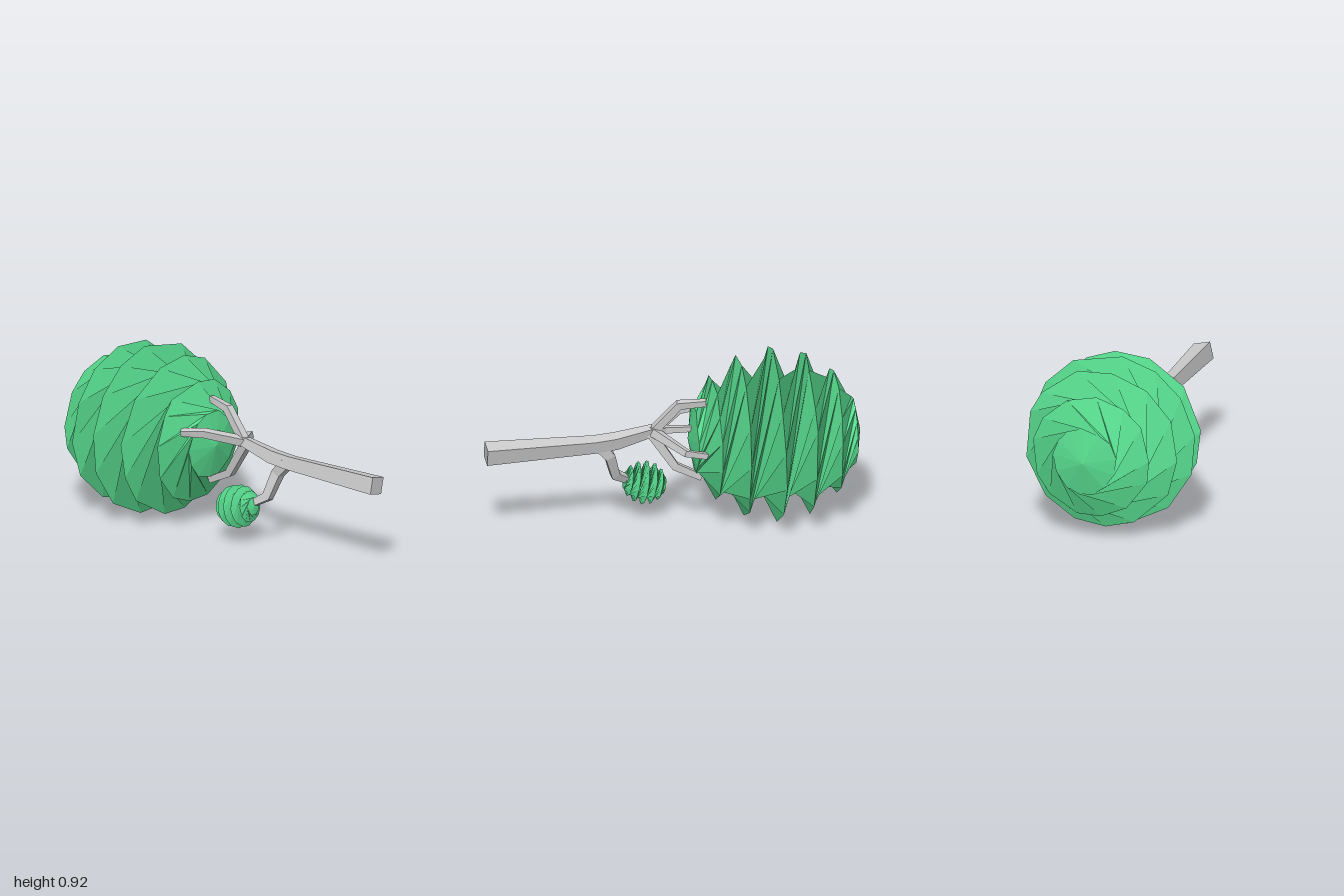
import * as THREE from 'three';

const bark = new THREE.MeshStandardMaterial({ color: 0xcccccc, flatShading: true });
const leaf = new THREE.MeshStandardMaterial({ color: 0x58dc8f, flatShading: true, side: THREE.DoubleSide });

function meshFrom(name, positions, index, material) {
  let geo = new THREE.BufferGeometry();
  geo.setAttribute('position', new THREE.Float32BufferAttribute(positions, 3));
  geo.setIndex(index);
  geo = geo.toNonIndexed();
  geo.computeVertexNormals();
  const mesh = new THREE.Mesh(geo, material);
  mesh.name = name;
  return mesh;
}

// Seeded values between -1 and 1
function seeded(seed) {
  return () => {
    seed = (seed * 16807) % 2147483647;
    return seed / 2147483647 * 2 - 1;
  };
}

// Closed four-sided limb through points [x, y, z, half width]
function limb(name, points, roll = 0) {
  const pts = points.map(p => new THREE.Vector3(p[0], p[1], p[2]));
  const positions = [], index = [];
  const last = pts.length - 1;
  let side = new THREE.Vector3(Math.cos(roll), Math.sin(roll), 0);
  pts.forEach((p, i) => {
    const dir = pts[Math.min(i + 1, last)].clone().sub(pts[Math.max(i - 1, 0)]).normalize();
    side = side.clone().addScaledVector(dir, -side.dot(dir)).normalize();
    const up = dir.clone().cross(side);
    for (const [a, b] of [[-1, -1], [1, -1], [1, 1], [-1, 1]]) {
      const v = p.clone().addScaledVector(side, a * points[i][3]).addScaledVector(up, b * points[i][3]);
      positions.push(v.x, v.y, v.z);
    }
  });
  for (let i = 0; i < last; i++) {
    for (let j = 0; j < 4; j++) {
      const a = i * 4 + j, b = i * 4 + (j + 1) % 4;
      index.push(a, b, b + 4, a, b + 4, a + 4);
    }
  }
  const e = last * 4;
  index.push(0, 2, 1, 0, 3, 2, e, e + 1, e + 2, e, e + 2, e + 3);
  return meshFrom(name, positions, index, bark);
}

// Unit sphere along z, twisted strongly so its rings become sharp ridges
function twistedCrown(name) {
  const rings = 8, sides = 13, twist = 4.1, random = seeded(4711);
  const positions = [0, 0, -1], index = [];
  for (let i = 1; i < rings; i++) {
    for (let j = 0; j < sides; j++) {
      const t = Math.PI * i / rings + random() * 0.02;
      const z = -Math.cos(t), r = Math.sin(t);
      const a = (j + random() * 0.15) / sides * Math.PI * 2 - twist * z + 0.17;
      positions.push(r * Math.cos(a), r * Math.sin(a), z);
    }
  }
  positions.push(0, 0, 1);
  const end = positions.length / 3 - 1, lastRing = end - sides;
  for (let j = 0; j < sides; j++) {
    const k = (j + 1) % sides;
    index.push(0, 1 + k, 1 + j, end, lastRing + j, lastRing + k);
    for (let i = 0; i < rings - 2; i++) {
      const a = 1 + i * sides, b = a + sides;
      index.push(a + j, a + k, b + j, a + k, b + k, b + j);
    }
  }
  return meshFrom(name, positions, index, leaf);
}

export function createModel() {
  const tree = new THREE.Group();
  tree.name = 'tree';

  // Trunk lying along z, tapering to the fork
  tree.add(limb('trunk', [
    [0.022, 0.472, 1, 0.046], [0.005, 0.475, 0.42, 0.035],
    [0, 0.485, 0.3, 0.034], [-0.005, 0.525, 0.12, 0.025], [-0.005, 0.53, 0.04, 0.019],
  ], -0.22));

  // Branches spreading from the fork into the crown
  const branches = {
    upperBranch: [[-0.005, 0.52, 0.11, 0.022], [0.02, 0.675, -0.03, 0.021], [0.05, 0.69, -0.17, 0.016]],
    rightBranch: [[0, 0.525, 0.11, 0.022], [-0.145, 0.575, -0.05, 0.02], [-0.195, 0.565, -0.17, 0.016]],
    leftBranch: [[-0.01, 0.525, 0.11, 0.023], [0.208, 0.475, -0.04, 0.017], [0.19, 0.445, -0.15, 0.015]],
    lowerBranch: [[-0.005, 0.52, 0.12, 0.024], [0.013, 0.325, -0.01, 0.021], [0.018, 0.255, -0.15, 0.017]],
    middleBranch: [[-0.005, 0.53, 0.08, 0.018], [0, 0.525, -0.15, 0.013]],
  };
  for (const [name, points] of Object.entries(branches)) tree.add(limb(name, points));

  // Side branch bending down to the small leaf ball
  tree.add(limb('sideBranch', [
    [0, 0.475, 0.4, 0.03], [-0.005, 0.4, 0.335, 0.027],
    [-0.045, 0.275, 0.3, 0.024], [-0.08, 0.22, 0.21, 0.017],
  ]));

  // Large crown, leaning slightly, and its small copy
  const crown = twistedCrown('crown');
  crown.scale.set(0.465, 0.465, 0.458);
  crown.position.set(0, 0.464, -0.54);
  crown.rotation.y = -0.03;
  tree.add(crown);

  const ball = twistedCrown('smallLeafBall');
  ball.scale.setScalar(0.117);
  ball.position.set(-0.092, 0.197, 0.135);
  ball.rotation.x = -0.2;
  tree.add(ball);

  return tree;
}
